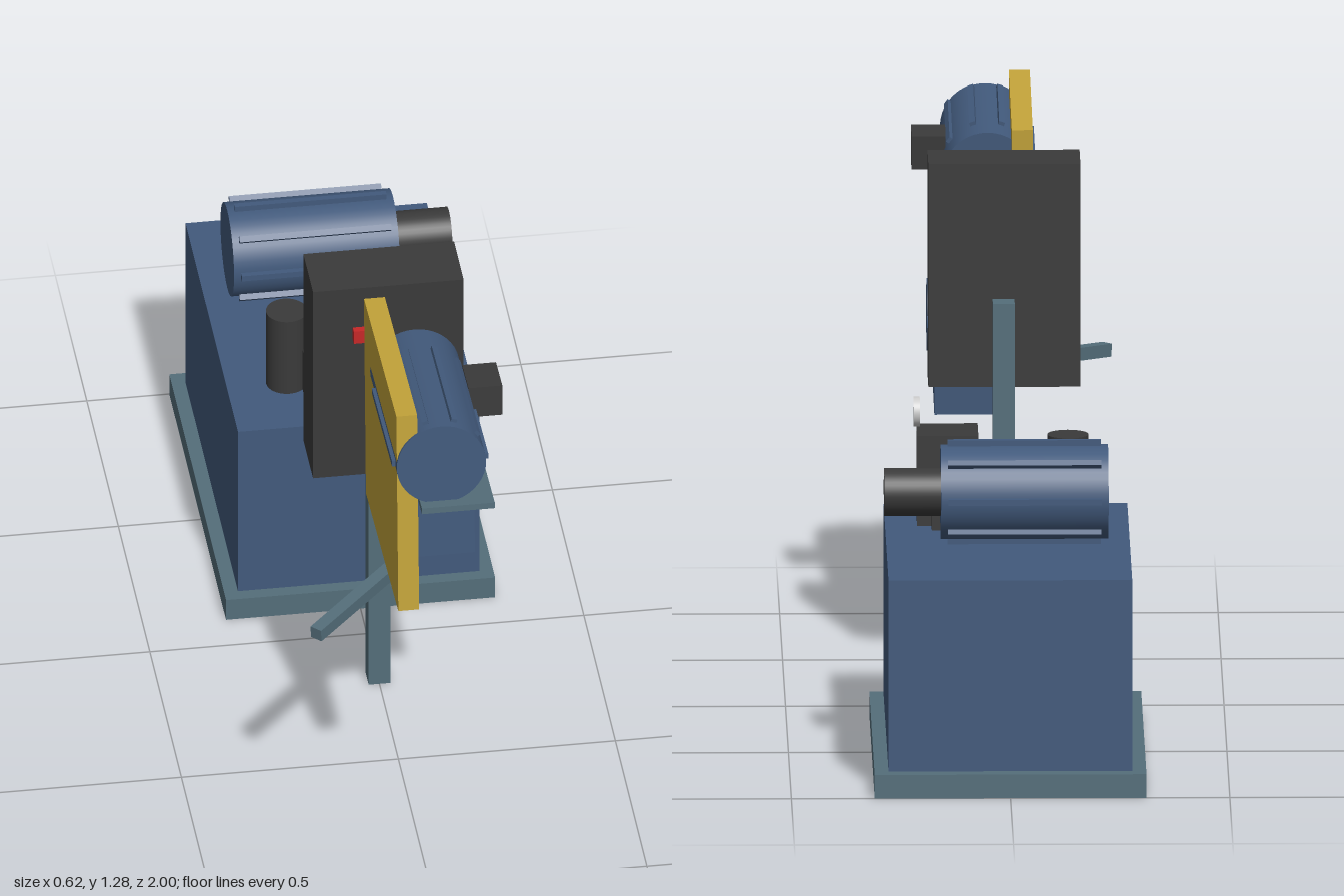
import * as THREE from 'three';

const mat = (color) => new THREE.MeshStandardMaterial({ color });
const BLUE = mat(0x425a7c), TEAL = mat(0x546e7a), DARK = mat(0x3a3a3a);
const YELLOW = mat(0xc4a43a), RED = mat(0xc62828), GREY = mat(0xcccccc);
const TILT = -0.06; // the working head leans slightly back

function add(parent, name, geometry, material, x, y, z) {
  const mesh = new THREE.Mesh(geometry, material);
  mesh.name = name;
  mesh.position.set(x, y, z);
  parent.add(mesh);
  return mesh;
}

const box = (parent, name, material, [w, h, d], [x, y, z]) =>
  add(parent, name, new THREE.BoxGeometry(w, h, d), material, x, y, z);

// Cylinder along the given axis
function cylinder(parent, name, material, radius, length, axis, [x, y, z]) {
  const geometry = new THREE.CylinderGeometry(radius, radius, length, 40);
  if (axis === 'x') geometry.rotateZ(-Math.PI / 2);
  if (axis === 'z') geometry.rotateX(Math.PI / 2);
  return add(parent, name, geometry, material, x, y, z);
}

// Finned motor body along z
function finnedMotor(name, radius, length, finCount, finLength, finZ, finRadius) {
  const motor = new THREE.Group();
  motor.name = name;
  cylinder(motor, 'motorBody', BLUE, radius, length, 'z', [0, 0, 0]);
  for (let i = 0; i < finCount; i++) {
    const a = (i / finCount) * Math.PI * 2;
    const r = finRadius - 0.015;
    const fin = box(motor, 'coolingFin', BLUE, [0.03, 0.014, finLength],
      [Math.cos(a) * r, Math.sin(a) * r, finZ]);
    fin.rotation.z = a;
  }
  return motor;
}

function createPowerUnit() {
  const unit = new THREE.Group();
  unit.name = 'powerUnit';
  // Tank on its base
  box(unit, 'basePlate', TEAL, [0.62, 0.055, 0.9], [0, 0.0275, -0.55]);
  box(unit, 'tank', BLUE, [0.556, 0.445, 0.832], [0, 0.2775, -0.547]);
  // Pump and its motor
  const motor = finnedMotor('pumpMotor', 0.108, 0.382, 8, 0.35, 0, 0.121);
  motor.rotation.y = Math.PI / 2;
  motor.position.set(-0.036, 0.64, -0.652);
  unit.add(motor);
  cylinder(unit, 'pump', DARK, 0.055, 0.13, 'x', [0.219, 0.64, -0.652]);
  // Valves, filter and gauge
  box(unit, 'manifold', DARK, [0.28, 0.11, 0.218], [0.032, 0.555, -0.313]);
  box(unit, 'valveBlock', DARK, [0.14, 0.21, 0.138], [0.135, 0.605, -0.305]);
  cylinder(unit, 'filter', DARK, 0.047, 0.2, 'y', [-0.14, 0.6, -0.31]);
  cylinder(unit, 'pressureGauge', GREY, 0.034, 0.014, 'x', [0.205, 0.752, -0.303]);
  return unit;
}

function createStand() {
  const stand = new THREE.Group();
  stand.name = 'stand';
  box(stand, 'post', TEAL, [0.05, 0.905, 0.05], [0, 0.4525, 0.175]);
  box(stand, 'controlCabinet', DARK, [0.347, 0.52, 0.152], [-0.002, 0.96, 0.278]);
  box(stand, 'stopButton', RED, [0.064, 0.034, 0.018], [-0.052, 1.095, 0.362]);
  return stand;
}

function createHead() {
  const head = new THREE.Group();
  head.name = 'head';
  // Gearbox with round side cover
  const tilted = [
    box(head, 'gearbox', BLUE, [0.177, 0.343, 0.4], [0.069, 0.8125, 0.42]),
    cylinder(head, 'sideCover', BLUE, 0.083, 0.03, 'x', [0.158, 0.83, 0.388]),
    box(head, 'guardPlate', YELLOW, [0.048, 0.522, 0.515], [-0.046, 1.003, 0.7085]),
    box(head, 'motorMount', TEAL, [0.168, 0.015, 0.48], [0.066, 1.028, 0.758]),
    box(head, 'terminalBox', DARK, [0.078, 0.078, 0.102], [0.165, 1.153, 0.697]),
  ];
  // Drive motor above the gearbox
  const motor = finnedMotor('driveMotor', 0.103, 0.424, 10, 0.32, 0.03, 0.111);
  motor.position.set(0.032, 1.131, 0.752);
  head.add(motor);
  tilted.push(motor);
  tilted.forEach((part) => { part.rotation.x = TILT; });
  // Handle bar reaching out to the front
  const from = new THREE.Vector3(0.015, 0.663, 0.62);
  const to = new THREE.Vector3(-0.245, 0.641, 0.88);
  const mid = from.clone().lerp(to, 0.5);
  const handle = box(head, 'handle', TEAL, [0.03, 0.03, from.distanceTo(to)], mid.toArray());
  handle.lookAt(to);
  return head;
}

export function createModel() {
  const model = new THREE.Group();
  model.name = 'hydraulicMachine';
  model.add(createPowerUnit(), createStand(), createHead());
  return model;
}
